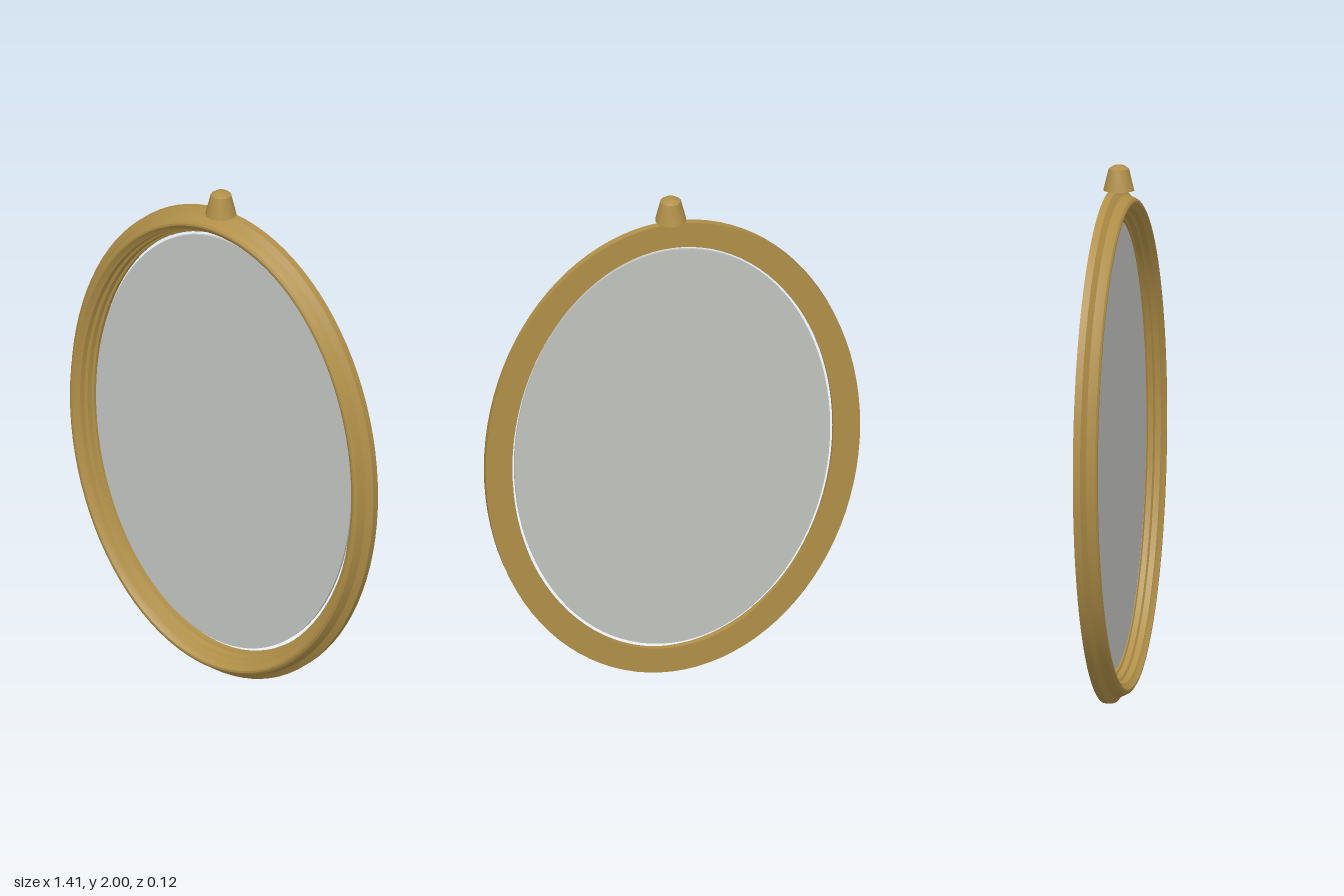
import * as THREE from 'three';
import { toCreasedNormals } from 'three/addons/utils/BufferGeometryUtils.js';

const CENTER_Y = 0.955, RX = 0.707, RY = 0.95;

// Moulding section: [inward offset from the outer oval, z], from back outer edge round the front
const MOULDING = [
  [0, -0.033], [0, -0.006], [0.022, 0.012], [0.029, 0.03], [0.036, 0.044], [0.045, 0.05],
  [0.053, 0.05], [0.064, 0.038], [0.074, 0.032], [0.078, 0.012], [0.088, 0.006],
  [0.092, -0.012], [0.101, -0.016], [0.101, -0.033],
];

// Sweeps a closed section round the oval, keeping the width constant
function ovalFrame(section, segments) {
  const positions = [], index = [], n = section.length;
  for (let i = 0; i < segments; i++) {
    const t = (i / segments) * Math.PI * 2;
    const c = Math.cos(t), s = Math.sin(t);
    const normal = new THREE.Vector2(c * RY, s * RX).normalize();
    for (const [d, z] of section) {
      positions.push(RX * c - normal.x * d, RY * s - normal.y * d, z);
    }
    const next = (i + 1) % segments;
    for (let j = 0; j < n; j++) {
      const k = (j + 1) % n;
      const a = i * n + j, b = next * n + j, e = next * n + k, f = i * n + k;
      index.push(a, b, e, a, e, f);
    }
  }
  const geometry = new THREE.BufferGeometry();
  geometry.setAttribute('position', new THREE.Float32BufferAttribute(positions, 3));
  geometry.setIndex(index);
  return toCreasedNormals(geometry, 0.5);
}

export function createModel() {
  const gold = new THREE.MeshStandardMaterial({ color: 0xb08f48 });
  gold.name = 'antique gold';
  const silver = new THREE.MeshStandardMaterial({ color: 0xc2c4c0 });
  silver.name = 'silver glass';

  const model = new THREE.Group();
  model.name = 'ovalMirror';
  const add = (name, geometry, material, y, z = 0) => {
    const mesh = new THREE.Mesh(geometry, material);
    mesh.name = name;
    mesh.position.set(0, y, z);
    model.add(mesh);
  };

  // Moulded oval frame
  add('frame', ovalFrame(MOULDING, 96), gold, CENTER_Y);

  // Thin glass plate, just clear of the frame
  const glass = new THREE.CylinderGeometry(1, 1, 0.01, 96);
  glass.rotateX(Math.PI / 2);
  glass.scale(0.596, 0.834, 1);
  add('mirrorGlass', glass, silver, CENTER_Y + 0.001, -0.02);

  // Tapered finial with a shallow domed tip
  const profile = [[0, 0], [0.058, 0], [0.038, 0.08], [0.02, 0.092], [0, 0.095]]
    .map(([r, y]) => new THREE.Vector2(r, y));
  add('finial', toCreasedNormals(new THREE.LatheGeometry(profile, 12), 0.6), gold, 1.905);

  return model;
}
